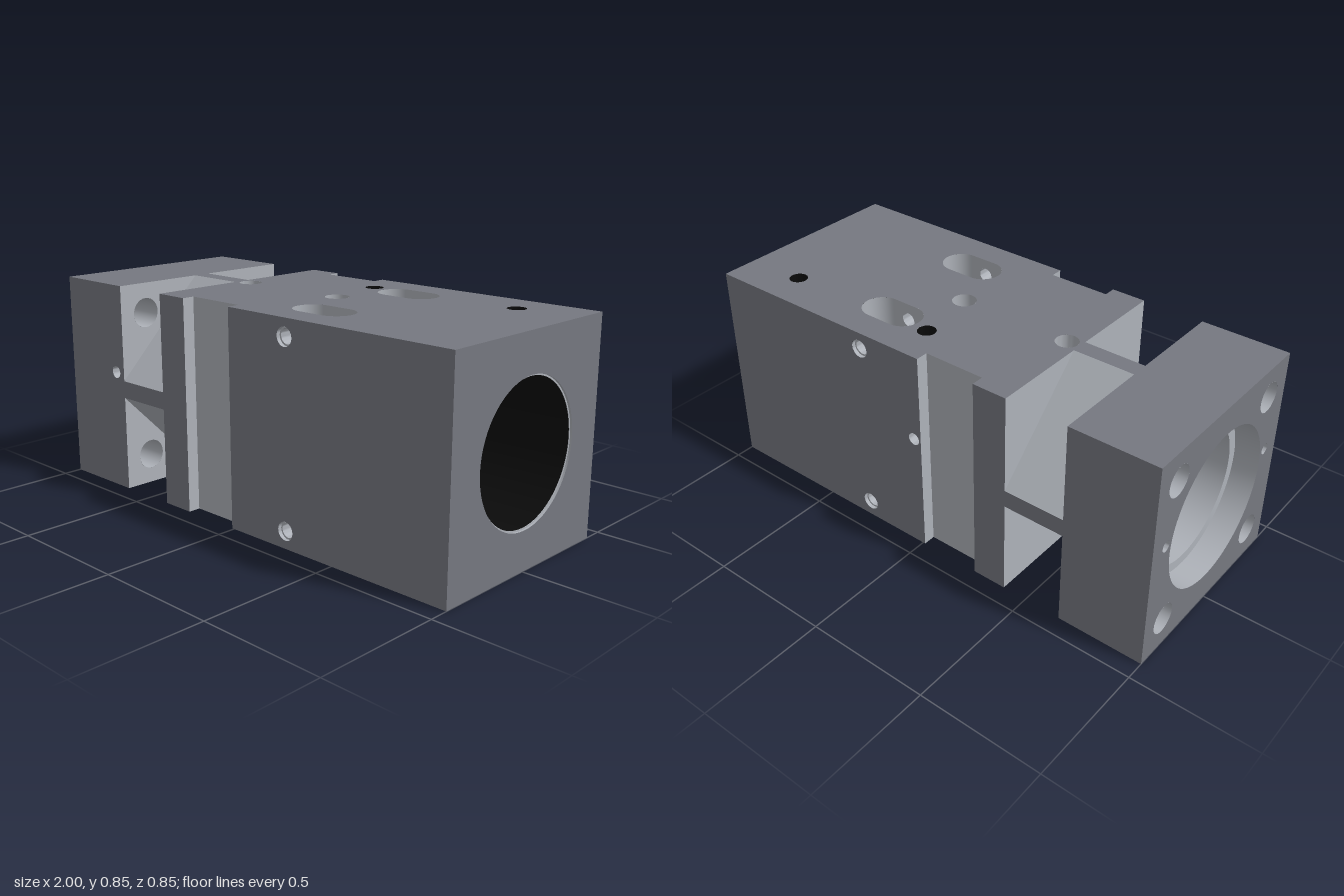
import * as THREE from 'three';
import { toCreasedNormals } from 'three/addons/utils/BufferGeometryUtils.js';

const H = 0.4235;                      // half height and half depth of the block
const N = 0.035;                       // half width of the flats on the neck
const G = 0.374;                       // half depth at the side grooves
const SLOT = { x: 0.284, z: 0.232, r: 0.075, half: 0.055 };
const Q = Math.PI / 2;

// rotations that turn a panel facing +z to the wanted side
const DIR = {
  front: [0, 0], back: [Math.PI, 0],   // u = x, v = y / -y
  top: [-Q, 0], bottom: [Q, 0],        // u = x, v = -z / z
  plusX: [0, Q], minusX: [0, -Q],      // u = -z / z, v = y
};

export function createModel() {
  const model = new THREE.Group();
  const block = new THREE.Group();
  block.name = 'housing';
  block.position.y = H;
  model.add(block);

  // dark outer skin, bright machined cuts, black bores
  const paint = (color) => new THREE.MeshStandardMaterial({ color, side: THREE.DoubleSide });
  const skin = paint(0x767880);
  const cut = paint(0xaeb2b9);
  const black = paint(0x0b0b0b);

  function add(name, geo, mat) {
    const mesh = new THREE.Mesh(geo, mat);
    mesh.name = name;
    block.add(mesh);
  }

  // stepped hole: steps are [radius, depth reached], measured from the face
  function drill(name, dir, d, { u, v, steps, blind = false, mat = cut }) {
    const pts = [];
    let from = 0;
    for (const [r, to] of steps) {
      pts.push(new THREE.Vector2(r, -from), new THREE.Vector2(r, -to));
      from = to;
    }
    if (blind) pts.push(new THREE.Vector2(0, -from));
    const big = steps[0][0] > 0.1;
    const geo = toCreasedNormals(new THREE.LatheGeometry(pts, big ? 64 : 28), 0.6);
    geo.rotateX(Q).translate(u, v, d).rotateX(DIR[dir][0]).rotateY(DIR[dir][1]);
    add(name, geo, mat);
  }

  // flat face with drilled holes and optional slots
  function panel(name, dir, d, outline, { holes = [], slots = [], mat = skin } = {}) {
    const shape = new THREE.Shape(outline.map(([a, b]) => new THREE.Vector2(a, b)));
    for (const h of holes) {
      const p = new THREE.Path();
      p.absarc(h.u, h.v, h.steps[0][0], 0, 2 * Math.PI, true);
      shape.holes.push(p);
      if (h.steps[0][1] > 0) drill(name + 'Hole', dir, d, h);
    }
    for (const v of slots) {
      const p = new THREE.Path();
      p.absarc(SLOT.x + SLOT.half, v, SLOT.r, -Q, Q, false);
      p.absarc(SLOT.x - SLOT.half, v, SLOT.r, Q, 3 * Q, false);
      p.closePath();
      shape.holes.push(p);
    }
    const geo = new THREE.ShapeGeometry(shape, 32);
    geo.translate(0, 0, d).rotateX(DIR[dir][0]).rotateY(DIR[dir][1]);
    add(name, geo, mat);
  }

  const rect = (u0, u1, v0, v1) => [[u0, v0], [u1, v0], [u1, v1], [u0, v1]];

  // outline of top and bottom: flange, neck, collar, grooves and body
  const edge = [[-1, H], [-0.65, H], [-0.65, N], [-0.4, N], [-0.4, H],
    [-0.26, H], [-0.26, G], [-0.01, G], [-0.01, H], [1, H]];
  const mirrorEdge = (e) => [...e, ...e.map(([a, b]) => [a, -b]).reverse()];
  const plan = mirrorEdge(edge);
  const slots = [SLOT.z, -SLOT.z];
  panel('topFace', 'top', H, plan, { slots, holes: [
    { u: -0.346, v: 0, steps: [[0.045, 0.13]], blind: true },
    { u: 0.13, v: 0, steps: [[0.047, 0.1], [0.022, 0.2]], blind: true },
    { u: 0.092, v: 0.257, steps: [[0.036, 0.24]], blind: true, mat: black },
    { u: 0.75, v: 0.268, steps: [[0.036, 0.24]], blind: true, mat: black },
  ] });
  panel('bottomFace', 'bottom', H, plan, { slots, holes: [
    { u: 0.11, v: -0.265, steps: [[0.022, 0.15]], blind: true },
    { u: 0.76, v: -0.265, steps: [[0.022, 0.15]], blind: true },
  ] });

  // front and back faces with the cross holes
  const collarEdge = mirrorEdge(edge.slice(0, 6));
  const slotIn = SLOT.z - SLOT.r;
  const slotOut = SLOT.z + SLOT.r;
  const cross = [0.356, -0.356].map((v) =>
    ({ u: 0.275, v, steps: [[0.036, 0.015], [0.029, H - slotOut]] }));
  panel('frontFlangeFace', 'front', H, collarEdge,
    { holes: [{ u: -0.7, v: 0.065, steps: [[0.025, 0.08]], blind: true }] });
  panel('backFlangeFace', 'back', H, collarEdge);
  panel('frontBodyFace', 'front', H, rect(-0.01, 1, -H, H), { holes: cross });
  panel('backBodyFace', 'back', H, rect(-0.01, 1, -H, H),
    { holes: [...cross, { u: 0.023, v: -0.065, steps: [[0.025, 0.1]], blind: true }] });

  // side grooves
  for (const dir of ['front', 'back']) {
    panel('grooveFloor', dir, G, rect(-0.26, -0.01, -H, H), { mat: cut });
  }
  for (const [a, b] of [[G, H], [-H, -G]]) {
    panel('grooveWall', 'plusX', -0.26, rect(a, b, -H, H), { mat: cut });
    panel('grooveWall', 'minusX', 0.01, rect(a, b, -H, H), { mat: cut });
  }

  // slot walls: flat sides pierced by the cross holes, round ends
  for (const z of slots) {
    for (const s of [-1, 1]) {
      panel('slotSide', 'front', z + s * SLOT.r,
        rect(SLOT.x - SLOT.half, SLOT.x + SLOT.half, -H, H),
        { holes: cross.map((c) => ({ ...c, steps: [[0.029, 0]] })), mat: cut });
      const end = new THREE.CylinderGeometry(SLOT.r, SLOT.r, 2 * H, 24, 1, true, s > 0 ? 0 : Math.PI, Math.PI);
      end.translate(SLOT.x + s * SLOT.half, 0, z);
      add('slotEnd', end, cut);
    }
  }
  // cross holes between the slots
  for (const c of cross) drill('crossHole', 'front', slotIn, { ...c, steps: [[0.029, 2 * slotIn]] });

  // flange end: main bore, bolt holes and two small holes
  const corners = [[1, 1], [-1, 1], [-1, -1], [1, -1]];
  const bolts = corners.map(([a, b]) => ({ u: 0.301 * a, v: 0.301 * b, steps: [[0.06, 0.35]] }));
  panel('flangeEnd', 'minusX', 1, rect(-H, H, -H, H), { holes: [
    { u: 0, v: 0, steps: [[0.31, 0.1], [0.27, 0.68], [0.163, 1.5]] },
    ...bolts,
    ...[-0.34, 0.34].map((u) => ({ u, v: 0.055, steps: [[0.022, 0.08]], blind: true })),
  ] });

  // body end: bright chamfered edge and dark stepped bore
  panel('bodyEnd', 'plusX', 1, rect(-H, H, -H, H),
    { holes: [{ u: 0, v: 0, steps: [[0.272, 0.008], [0.266, 0.01]] }] });
  drill('darkBore', 'plusX', 0.99,
    { u: 0, v: 0, steps: [[0.266, 0.38], [0.215, 0.45], [0.163, 0.5]], mat: black });

  // neck: four slanted faces and the corner triangles on either side
  corners.forEach(([a, b], i) => {
    let tri = [[a * H, b * H], [a * N, b * H], [a * H, b * N]];
    if (a * b < 0) tri = tri.reverse();
    panel('flangeCorner', 'plusX', -0.65, tri, { holes: [{ ...bolts[i], steps: [[0.06, 0]] }], mat: cut });
    panel('collarCorner', 'minusX', 0.4, tri, { mat: cut });
    const slant = new THREE.PlaneGeometry(0.25, (H - N) * Math.SQRT2);
    slant.translate(-0.525, 0, (H + N) / Math.SQRT2).rotateX(-Q / 2 - i * Q);
    add('neckSlant', slant, cut);
  });

  return model;
}
